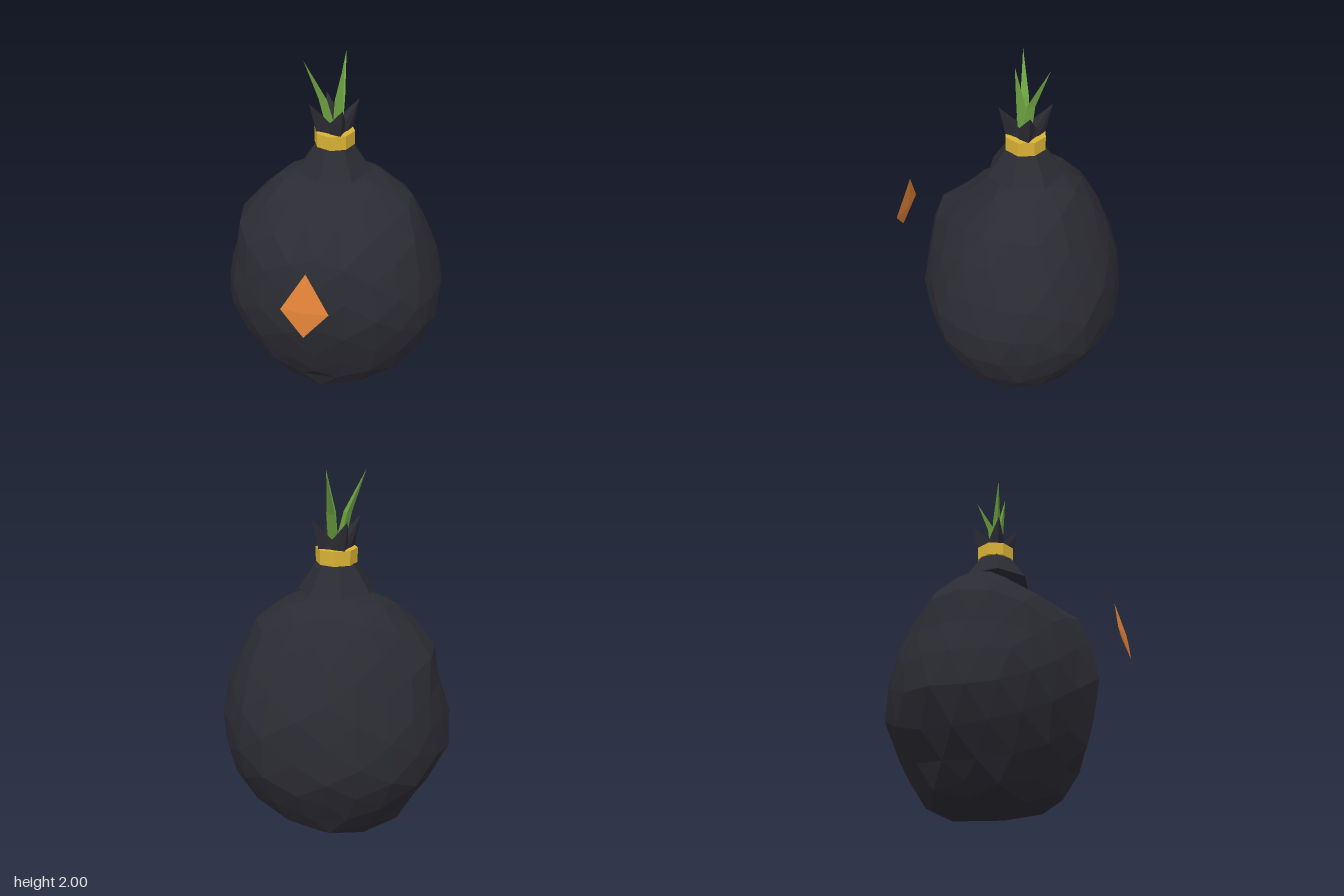
import * as THREE from 'three';

const material = (name, color) => {
  const m = new THREE.MeshStandardMaterial({ color });
  m.name = name;
  return m;
};

// Unshared vertices give every face its own flat normal
const flat = (geometry) => {
  const g = geometry.index ? geometry.toNonIndexed() : geometry;
  g.computeVertexNormals();
  return g;
};

const fromTriangles = (triangles) => flat(new THREE.BufferGeometry().setFromPoints(triangles.flat()));
const V = (x, y, z) => new THREE.Vector3(x, y, z);
const AXIS_Z = -0.1;

// Height, then reach to -x, +x, front and back
const PROFILE = [
  [0, 0.36, 0.18, 0.32, 0.34],
  [0.1, 0.43, 0.44, 0.4, 0.4],
  [0.24, 0.52, 0.55, 0.5, 0.49],
  [0.43, 0.645, 0.625, 0.55, 0.575],
  [0.63, 0.645, 0.65, 0.61, 0.57],
  [0.82, 0.59, 0.61, 0.58, 0.545],
  [1.04, 0.555, 0.53, 0.52, 0.445],
  [1.2, 0.42, 0.44, 0.32, 0.36],
  [1.28, 0.35, 0.34, 0.2, 0.31],
  [1.36, 0.19, 0.15, 0.11, 0.2],
];

function reach(h, column) {
  let i = 0;
  while (i < PROFILE.length - 2 && h > PROFILE[i + 1][0]) i++;
  const a = PROFILE[i], b = PROFILE[i + 1];
  return THREE.MathUtils.lerp(a[column], b[column], (h - a[0]) / (b[0] - a[0]));
}

// A ridge runs down the middle of the front
const frontRidge = (x) => 0.92 + 0.08 * Math.exp(-((x / 0.1) ** 2));

// The back corner on the +x side is fuller
function fullness(p) {
  if (p.z > 0 || p.x < 0) return 1;
  return 1 + 0.035 * Math.abs(Math.sin(2 * Math.atan2(p.z, p.x)));
}

// Repeatable noise in -1..1 that agrees on shared corners
function noise(p, seed) {
  const r = (n) => Math.round(n * 1000) / 1000;
  const s = Math.sin(r(p.x) * 127.1 + r(p.y) * 311.7 + r(p.z) * 74.7 + seed) * 4375.85;
  return 2 * (s - Math.floor(s)) - 1;
}

// Lumpy faceted sack, flattened where it stands
function sackGeometry() {
  const g = new THREE.IcosahedronGeometry(1, 3);
  const pos = g.attributes.position;
  const p = new THREE.Vector3();
  for (let i = 0; i < pos.count; i++) {
    p.fromBufferAttribute(pos, i);
    const h = THREE.MathUtils.clamp(0.68 + 0.72 * p.y + 0.008 * noise(p, 5), 0, 1.36);
    const u = (h - 0.68) / 0.72;
    const k = fullness(p) * (1 + 0.014 * noise(p, 1)) / Math.sqrt(1 - u * u);
    const zReach = p.z > 0 ? reach(h, 3) * frontRidge(p.x) : reach(h, 4);
    pos.setXYZ(i, p.x * k * reach(h, p.x < 0 ? 1 : 2), h, AXIS_Z + p.z * k * zReach);
  }
  return flat(g);
}

// Gathered cloth: four flaring points with low valleys between them
function crownGeometry() {
  const ring = (radius, y) => Array.from({ length: 8 }, (_, i) => {
    const a = 1.06 + i * Math.PI / 4;
    const r = radius(i);
    return V(Math.cos(a) * r, y(i), Math.sin(a) * r);
  });
  const base = ring((i) => (i % 2 ? 0.07 : 0.1), () => 1.57);
  const top = ring((i) => (i % 2 ? 0.065 : 0.142), (i) => (i % 2 ? 1.65 : 1.76));
  const centre = V(0, 1.61, 0);
  const tris = [];
  for (let i = 0; i < 8; i++) {
    const j = (i + 1) % 8;
    tris.push([base[i], top[i], base[j]], [base[j], top[i], top[j]], [top[i], centre, top[j]]);
  }
  return fromTriangles(tris);
}

// Three-sided blade through a base, a bend and a tip, flat side to the front
function bladeGeometry(base, bend, tip) {
  const ring = (c, r) => [0, 1, 2].map((i) => {
    const a = -Math.PI / 2 + i * Math.PI * 2 / 3;
    return V(c.x + Math.cos(a) * r, c.y, c.z + Math.sin(a) * r);
  });
  const a = ring(base, 0.03), b = ring(bend, 0.026);
  const tris = [];
  for (let i = 0; i < 3; i++) {
    const j = (i + 1) % 3;
    tris.push([a[i], b[i], a[j]], [a[j], b[i], b[j]], [b[i], tip, b[j]]);
  }
  return fromTriangles(tris);
}

// Thin four-cornered gem leaning back at the top
function diamondGeometry() {
  const corners = [V(0, 1.12, 0.607), V(-0.128, 0.91, 0.647), V(0, 0.768, 0.68), V(0.128, 0.91, 0.647)];
  const front = V(0, 0.912, 0.663), back = V(0, 0.91, 0.632);
  const tris = [];
  corners.forEach((c, i) => {
    const n = corners[(i + 1) % 4];
    tris.push([c, n, front], [n, c, back]);
  });
  return fromTriangles(tris);
}

export function createModel() {
  const model = new THREE.Group();
  model.name = 'sproutingSack';

  const cloth = material('charcoal cloth', 0x2b2b33);
  const gold = material('gold', 0xdab236);
  const green = material('leaf green', 0x6ca240);
  const orange = material('orange', 0xe08238);

  const add = (name, geometry, mat, parent = model) => {
    const mesh = new THREE.Mesh(geometry, mat);
    mesh.name = name;
    parent.add(mesh);
    return mesh;
  };

  add('sackBody', sackGeometry(), cloth);

  // Everything gathered above the sack shares one axis
  const top = new THREE.Group();
  top.name = 'sackTop';
  top.position.z = -0.105;
  model.add(top);

  add('neck', flat(new THREE.CylinderGeometry(0.1, 0.21, 0.165, 7, 1, false, Math.PI / 2)), cloth, top)
    .position.y = 1.447;
  add('neckBand', flat(new THREE.CylinderGeometry(0.113, 0.113, 0.08, 8)), gold, top)
    .position.y = 1.557;
  add('clothPoints', crownGeometry(), cloth, top);

  // Sprouting leaves
  const blades = [
    [V(-0.015, 1.61, 0.01), V(-0.055, 1.78, 0.03), V(-0.15, 2.0, 0.075)],
    [V(0.02, 1.61, -0.01), V(0.03, 1.78, -0.035), V(0.035, 2.0, -0.14)],
    [V(0.02, 1.61, 0.01), V(0.03, 1.78, 0.02), V(0.06, 2.0, 0.04)],
  ];
  for (const points of blades) add('leafBlade', bladeGeometry(...points), green, top);

  add('floatingDiamond', diamondGeometry(), orange);
  return model;
}
